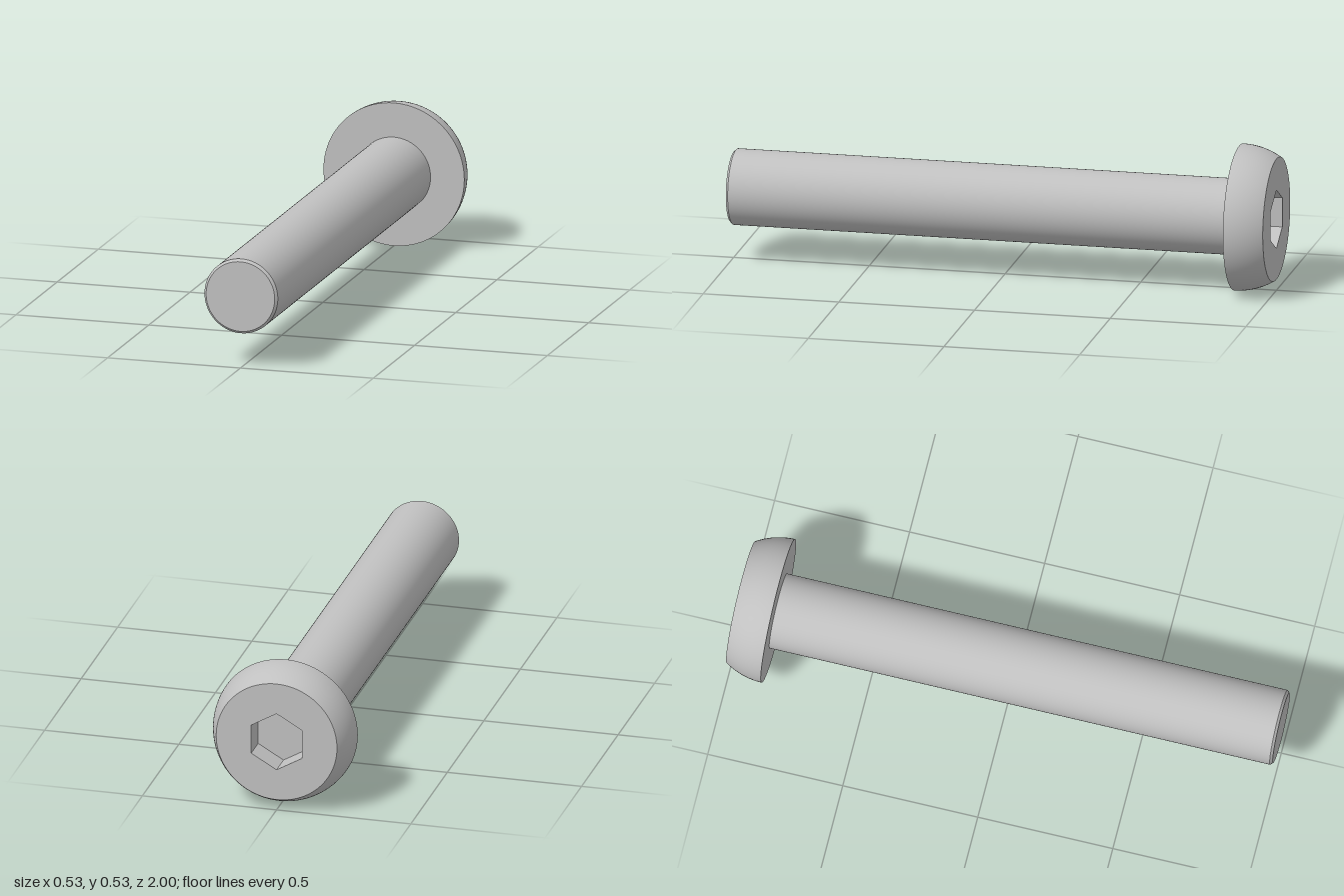
import * as THREE from 'three';

const AXIS_Y = 0.265;
const HEAD_R = 0.265, FACE_R = 0.225, SHANK_R = 0.138, TIP_R = 0.129;
const BACK_Z = -1, SEAT_Z = -0.862, FRONT_Z = 1;
const HEX_R = 0.109, HEX_DEPTH = 0.095;
const SEGMENTS = 96;

export function createModel() {
  const bolt = new THREE.Group();
  bolt.name = 'bolt';
  const steel = new THREE.MeshStandardMaterial({ color: 0xc0c0c0 });
  steel.name = 'steel grey';

  const add = (name, geometry) => {
    const mesh = new THREE.Mesh(geometry, steel);
    mesh.name = name;
    mesh.position.y = AXIS_Y;
    bolt.add(mesh);
  };
  // Surface of revolution about z, from [radius, z] pairs running forward
  const turned = (name, profile) => add(name, new THREE.LatheGeometry(
    profile.map(([r, z]) => new THREE.Vector2(r, z)), SEGMENTS).rotateX(Math.PI / 2));

  // Domed side of the head: an arc running parallel to the axis at the seat
  const height = SEAT_Z - BACK_Z, drop = HEAD_R - FACE_R;
  const arcR = (height * height + drop * drop) / (2 * drop);
  const sweep = Math.asin(height / arcR);
  const dome = [];
  for (let i = 0; i <= 16; i++) {
    const a = sweep * (1 - i / 16);
    dome.push([HEAD_R - arcR * (1 - Math.cos(a)), SEAT_Z - arcR * Math.sin(a)]);
  }
  turned('headDome', dome);
  turned('headSeat', [[HEAD_R, SEAT_Z], [SHANK_R, SEAT_Z]]);

  // Shank with a small chamfer and a flat tip
  const chamferZ = FRONT_Z - (SHANK_R - TIP_R);
  turned('shank', [[SHANK_R, SEAT_Z], [SHANK_R, chamferZ]]);
  turned('tipChamfer', [[SHANK_R, chamferZ], [TIP_R, FRONT_Z]]);
  add('tip', new THREE.CircleGeometry(TIP_R, SEGMENTS).translate(0, 0, FRONT_Z));

  // Flat head face with a hexagonal opening, corners up and down
  const face = new THREE.Shape().absarc(0, 0, FACE_R, 0, Math.PI * 2);
  const corners = Array.from({ length: 6 }, (_, i) => {
    const a = Math.PI / 2 - i * Math.PI / 3;
    return new THREE.Vector2(HEX_R * Math.cos(a), HEX_R * Math.sin(a));
  });
  face.holes.push(new THREE.Path(corners));
  add('headFace', new THREE.ShapeGeometry(face, SEGMENTS / 2).rotateY(Math.PI).translate(0, 0, BACK_Z));

  // Socket walls, turned inside out and flat shaded
  const tube = new THREE.CylinderGeometry(HEX_R, HEX_R, HEX_DEPTH, 6, 1, true);
  tube.setIndex(Array.from(tube.index.array).reverse());
  const walls = tube.toNonIndexed();
  walls.computeVertexNormals();
  add('socketWalls', walls.rotateX(Math.PI / 2).translate(0, 0, BACK_Z + HEX_DEPTH / 2));
  add('socketFloor', new THREE.CircleGeometry(HEX_R, 6, Math.PI / 2)
    .rotateY(Math.PI).translate(0, 0, BACK_Z + HEX_DEPTH));

  return bolt;
}
